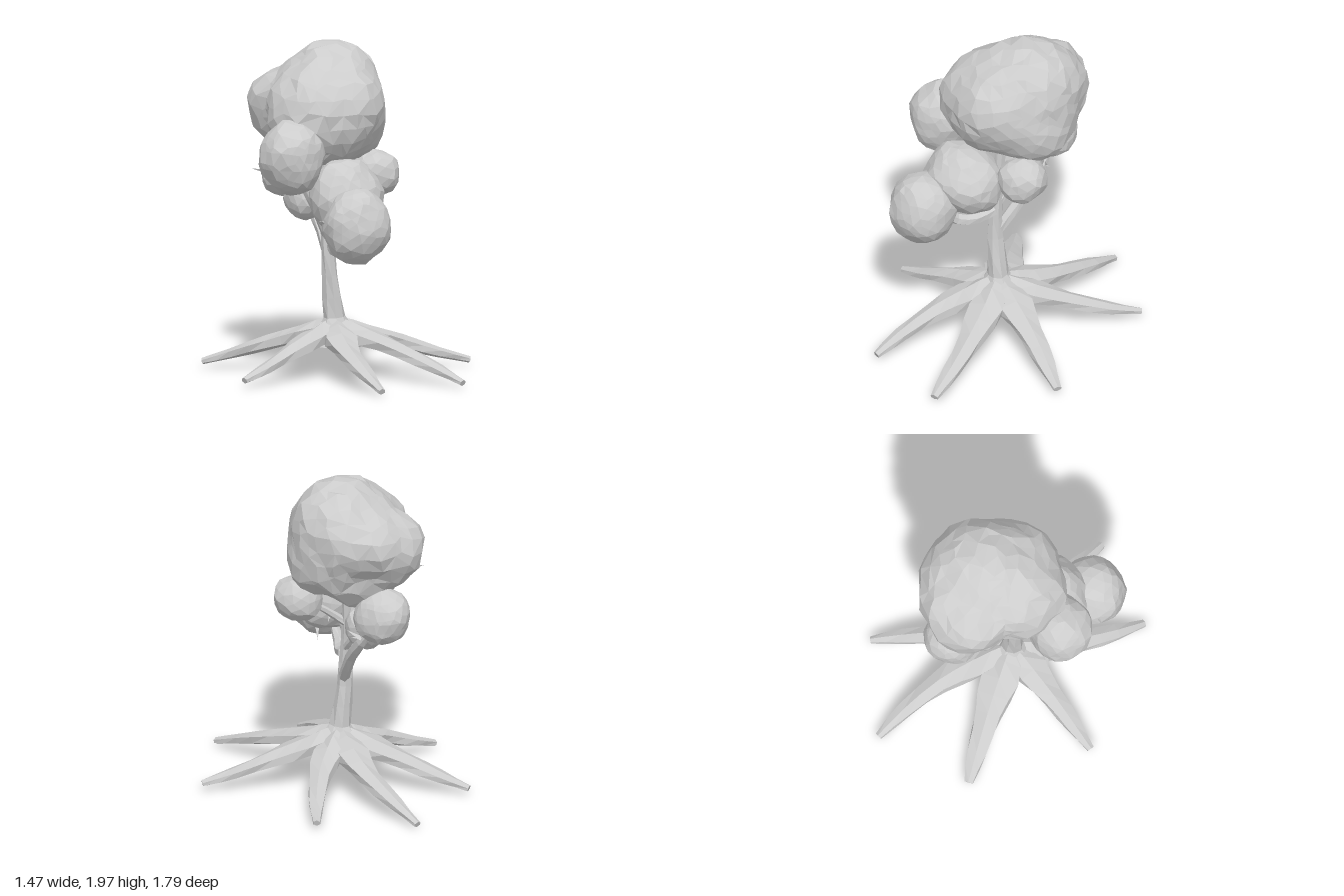
import * as THREE from 'three';

const material = new THREE.MeshStandardMaterial({ color: 0xcccccc, flatShading: true, side: THREE.DoubleSide });

function addMesh(parent, name, geometry) {
  const mesh = new THREE.Mesh(geometry, material);
  mesh.name = name;
  parent.add(mesh);
  return mesh;
}

function addGroup(parent, name) {
  const group = new THREE.Group();
  group.name = name;
  parent.add(group);
  return group;
}

// Faceted limb: rings of given half width and half height swept along a smooth path
function limbGeometry(points, widths, heights, sides, ref) {
  const curve = new THREE.CatmullRomCurve3(points.map(p => new THREE.Vector3(...p)));
  const steps = (points.length - 1) * 2;
  const sample = (list, t) => {
    const f = t * (list.length - 1), i = Math.min(Math.floor(f), list.length - 2);
    return THREE.MathUtils.lerp(list[i], list[i + 1], f - i);
  };
  const pos = [], index = [];
  const up = new THREE.Vector3(...ref).normalize();
  for (let i = -1; i <= steps + 1; i++) {
    const t = THREE.MathUtils.clamp(i / steps, 0, 1);
    const cap = i < 0 || i > steps ? 0 : 1; // closed ends
    const c = curve.getPoint(t), tan = curve.getTangent(t);
    const side = tan.clone().cross(up).normalize();
    const n = tan.clone().cross(side);
    for (let j = 0; j < sides; j++) {
      const a = (j / sides) * Math.PI * 2 + Math.PI / 2;
      const gnarl = 1 + 0.08 * Math.sin(j * 2.3 + i * 1.7);
      const p = c.clone()
        .addScaledVector(side, Math.cos(a) * sample(widths, t) * cap * gnarl)
        .addScaledVector(n, Math.sin(a) * sample(heights, t) * cap * gnarl);
      pos.push(p.x, p.y, p.z);
    }
  }
  for (let i = 0; i < steps + 2; i++) {
    for (let j = 0; j < sides; j++) {
      const a = i * sides + j, b = i * sides + (j + 1) % sides;
      index.push(a, b, a + sides, b, b + sides, a + sides);
    }
  }
  const g = new THREE.BufferGeometry();
  g.setAttribute('position', new THREE.Float32BufferAttribute(pos, 3));
  g.setIndex(index);
  const flat = g.toNonIndexed();
  flat.computeVertexNormals();
  return flat;
}

// Lumpy faceted foliage: a sphere whose radius in each direction comes from a rule
function foliageGeometry(radiusAt, seed, detail) {
  const g = new THREE.IcosahedronGeometry(1, detail);
  g.rotateX(seed * 1.3).rotateY(seed * 2.1);
  const p = g.attributes.position, v = new THREE.Vector3();
  for (let i = 0; i < p.count; i++) {
    v.fromBufferAttribute(p, i);
    // uneven facets
    v.set(v.x + 0.06 * Math.sin(23 * v.y + 9 * v.z + seed),
      v.y + 0.06 * Math.sin(21 * v.z + 11 * v.x + seed),
      v.z + 0.06 * Math.sin(25 * v.x + 8 * v.y + seed)).normalize();
    const lump = 0.02 * Math.sin(3.1 * v.x + 2.3 * v.y + seed * 4)
      + 0.025 * Math.sin(4.7 * v.y - 3.3 * v.z + seed * 2)
      + 0.02 * Math.sin(7.3 * v.z + 5.1 * v.x + seed)
      + 0.015 * Math.sin(13 * v.x - 11 * v.y + 12 * v.z + seed);
    v.multiplyScalar(radiusAt(v) * (1 + lump));
    p.setXYZ(i, v.x, v.y, v.z);
  }
  g.computeVertexNormals();
  return g;
}

const ellipsoid = ([a, b, c]) => d => 1 / Math.hypot(d.x / a, d.y / b, d.z / c);

// Softened outer skin of several overlapping balls [x, y, z, r], seen from the origin
const fusedBalls = balls => d => Math.log(balls.reduce((sum, [x, y, z, r]) => {
  const along = d.x * x + d.y * y + d.z * z;
  const inside = r * r - (x * x + y * y + z * z - along * along);
  return inside > 0 ? sum + Math.exp(45 * (along + Math.sqrt(inside))) : sum;
}, 1)) / 45 - 0.015;

export function createModel() {
  const tree = new THREE.Group();
  tree.name = 'tree';

  // Trunk, flared where the roots meet it
  addMesh(tree, 'trunk', limbGeometry(
    [[0, 0.19, 0], [-0.005, 0.35, 0], [-0.03, 0.6, -0.01], [-0.035, 0.9, -0.03], [-0.01, 1.35, -0.05]],
    [0.17, 0.065, 0.047, 0.038, 0.032], [0.17, 0.065, 0.047, 0.038, 0.032], 8, [0.2, 0, 1]));

  // Spreading roots: tip x, tip z, tip height, sideways bend, width factor
  const roots = addGroup(tree, 'roots');
  [
    [-0.375, -0.715, 0.045, 0.01, 1.1], [0.21, -0.89, 0.025, 0.06, 0.9],
    [0.67, -0.51, 0.05, 0.05, 0.85], [0.72, 0.42, 0.05, -0.02, 1],
    [0.16, 0.89, 0.035, -0.03, 1], [-0.37, 0.73, 0.03, 0.045, 0.9],
    [-0.725, -0.05, 0.05, -0.01, 0.9],
  ].forEach(([x, z, y, bend, w]) => {
    const len = Math.hypot(x, z);
    const at = (f, h) => {
      const s = bend * Math.sin(f * Math.PI) / len;
      return [x * f - z * s, h, z * f + x * s];
    };
    addMesh(roots, 'root', limbGeometry(
      [at(0, 0.27), at(0.25, 0.235), at(0.5, 0.175), at(0.78, 0.1), at(1, y)],
      [0.09, 0.115, 0.082, 0.056, 0.028].map(k => k * w),
      [0.08, 0.055, 0.043, 0.033, 0.018], 6, [0, 1, 0]));
  });

  // Branches from the trunk into the foliage
  const branches = addGroup(tree, 'branches');
  [
    [[-0.02, 0.64, -0.01], [0.06, 0.84, -0.16], [0.1, 0.98, -0.29], [0.08, 1.16, -0.42]],
    [[-0.03, 0.8, 0], [-0.09, 0.765, 0.09], [-0.17, 0.785, 0.19], [-0.25, 0.95, 0.36]],
    [[-0.03, 0.8, -0.02], [-0.13, 0.95, 0], [-0.24, 1.1, 0.01], [-0.37, 1.3, 0.02]],
    [[-0.03, 0.92, -0.03], [-0.06, 1.0, 0.06], [-0.1, 1.08, 0.16]],
    [[-0.02, 0.84, -0.03], [0, 0.93, -0.11], [0, 1.03, -0.21]],
    [[-0.02, 1.0, -0.03], [0.1, 1.1, 0.03], [0.23, 1.19, 0.09]],
  ].forEach((path, i) => {
    const r = i < 2 ? [0.034, 0.035, 0.033, 0.024] : [0.024, 0.02, 0.016];
    addMesh(branches, 'branch', limbGeometry(path, r, r, 6, [0, 1, 0]));
  });

  // Large crown, several swellings grown into one mass
  const foliage = addGroup(tree, 'foliage');
  const crownCentre = [0.04, 1.58, -0.14];
  const swellings = [
    [0.12, 1.67, -0.14, 0.325], [0.03, 1.61, -0.02, 0.31], [-0.135, 1.57, -0.06, 0.285],
    [-0.04, 1.56, -0.37, 0.235], [0.22, 1.51, -0.18, 0.22], [0.05, 1.42, -0.24, 0.235],
    [0.22, 1.63, -0.25, 0.22], [0.19, 1.47, -0.05, 0.22], [0.13, 1.64, -0.37, 0.21],
    [-0.07, 1.49, 0.01, 0.25],
  ].map(([x, y, z, r]) => [x - crownCentre[0], y - crownCentre[1], z - crownCentre[2], r]);
  addMesh(foliage, 'crown', foliageGeometry(fusedBalls(swellings), 2, 5)).position.set(...crownCentre);

  // Smaller clumps: name, centre, radii, detail
  [
    ['rightClump', [-0.385, 1.355, 0.02], [0.2, 0.225, 0.19], 3],
    ['middleClump', [-0.115, 1.11, 0.2], [0.25, 0.22, 0.2], 3],
    ['lowFrontClump', [-0.255, 0.97, 0.415], [0.2, 0.225, 0.2], 3],
    ['leftClump', [0.245, 1.195, 0.1], [0.145, 0.14, 0.155], 2],
    ['backClump', [0.06, 1.175, -0.43], [0.17, 0.17, 0.17], 3],
    ['lowBackClump', [0, 1.04, -0.23], [0.13, 0.135, 0.135], 2],
  ].forEach(([name, centre, radii, detail], i) => {
    addMesh(foliage, name, foliageGeometry(ellipsoid(radii), i + 4, detail)).position.set(...centre);
  });

  // Small leaf spikes where twigs poke out of the foliage
  [
    [[-0.42, 1.0, 0.31], [-0.5, 0.2, -0.1]], [[0.13, 1.02, -0.3], [0.6, 0.1, 0.3]],
    [[0.15, 1.04, -0.28], [0.5, 0.5, 0.6]], [[-0.47, 1.27, -0.16], [-0.5, 0.1, -0.4]],
    [[-0.1, 0.82, 0.3], [0.3, -0.4, -0.4]], [[0.03, 1.04, 0.05], [0.4, -0.4, -0.2]],
  ].forEach(([p, d]) => {
    const leaf = addMesh(foliage, 'leafSpike', new THREE.ConeGeometry(0.018, 0.1, 3));
    leaf.position.set(...p);
    leaf.quaternion.setFromUnitVectors(new THREE.Vector3(0, 1, 0), new THREE.Vector3(...d).normalize());
  });

  return tree;
}
